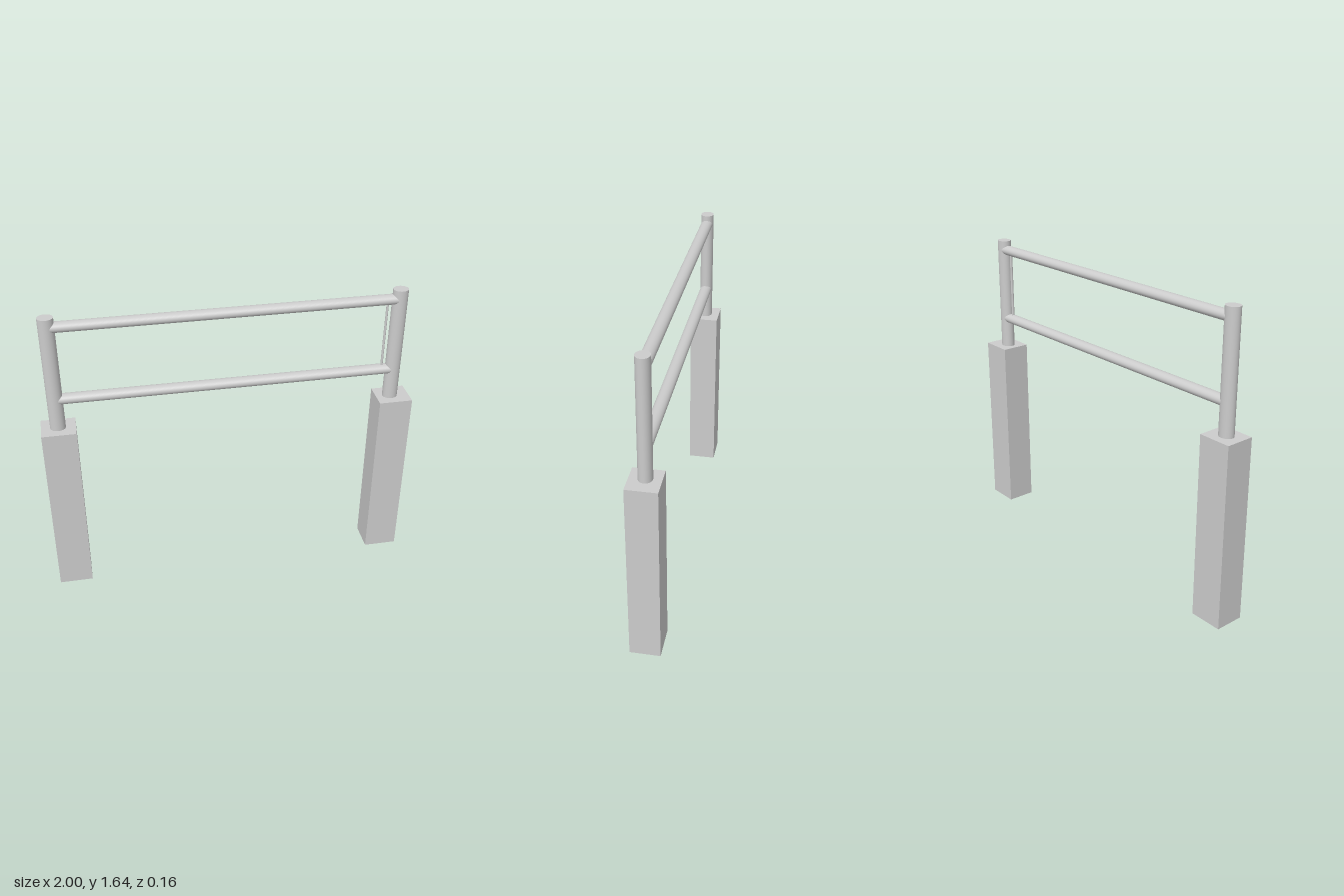
import * as THREE from 'three';

const material = new THREE.MeshStandardMaterial({ color: 0xcccccc });

// Upright round bar with an oval section
function ovalBar(name, rx, rz, length) {
  const geometry = new THREE.CylinderGeometry(1, 1, length, 40);
  geometry.scale(rx, 1, rz);
  const mesh = new THREE.Mesh(geometry, material);
  mesh.name = name;
  return mesh;
}

export function createModel() {
  const group = new THREE.Group();
  group.name = 'railing';

  const baseHeight = 1.006, topHeight = 1.643;
  const sides = [
    { label: 'left', baseX: 0.909, postX: 0.896 },
    { label: 'right', baseX: -0.909, postX: -0.911 },
  ];

  // Square pillars, each carrying a short post
  for (const { label, baseX, postX } of sides) {
    const pillar = new THREE.Mesh(new THREE.BoxGeometry(0.182, baseHeight, 0.16), material);
    pillar.name = `${label}Pillar`;
    pillar.position.set(baseX, baseHeight / 2, 0);

    const post = ovalBar(`${label}Post`, 0.041, 0.036, topHeight - baseHeight);
    post.position.set(postX, (topHeight + baseHeight) / 2, 0);
    group.add(pillar, post);
  }

  // Horizontal rails running into both posts
  const railHeights = { upperRail: 1.588, lowerRail: 1.178 };
  for (const [name, y] of Object.entries(railHeights)) {
    const rail = ovalBar(name, 0.027, 0.033, 1.807);
    rail.rotation.z = Math.PI / 2;
    rail.position.set(-0.0075, y, 0);
    group.add(rail);
  }

  // Thin rod between the rails, next to the left post
  const { upperRail, lowerRail } = railHeights;
  const rod = ovalBar('thinRod', 0.006, 0.008, upperRail - lowerRail);
  rod.position.set(0.832, (upperRail + lowerRail) / 2, 0);
  group.add(rod);

  return group;
}
